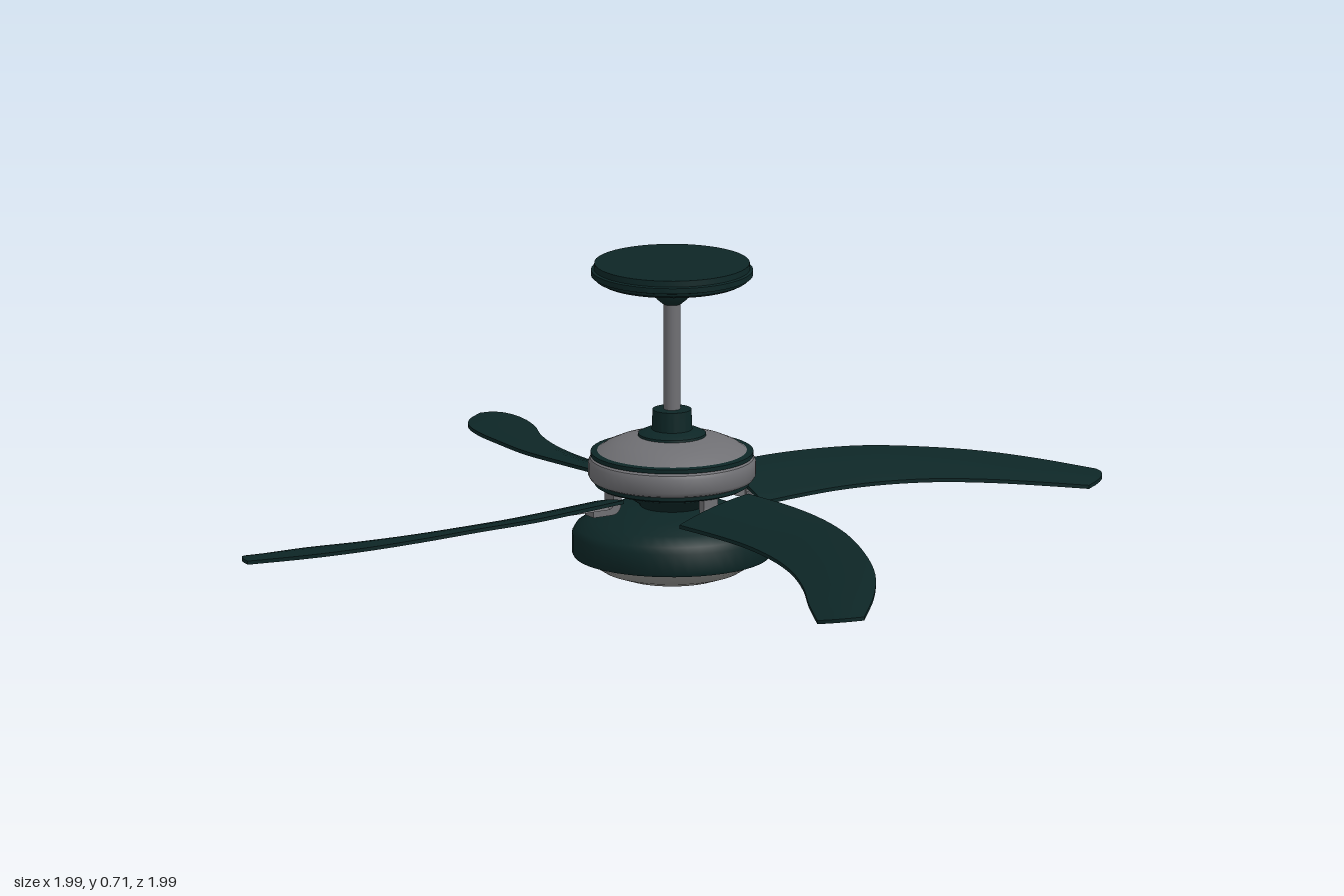
import * as THREE from 'three';
import { toCreasedNormals } from 'three/addons/utils/BufferGeometryUtils.js';

const paint = new THREE.MeshStandardMaterial({ color: 0x0d2626 });
paint.name = 'darkGreen';
const metal = new THREE.MeshStandardMaterial({ color: 0x6f6f73 });
metal.name = 'greyMetal';
const glass = new THREE.MeshStandardMaterial({ color: 0x8c8c89 });
glass.name = 'frostedGlass';

function mesh(name, geometry, material) {
  const m = new THREE.Mesh(geometry, material);
  m.name = name;
  return m;
}

// Turned part: profile of [radius, y] points listed from bottom to top
function turned(name, profile, material) {
  const points = profile.map(([r, y]) => new THREE.Vector2(r, y));
  return mesh(name, toCreasedNormals(new THREE.LatheGeometry(points, 48), 0.6), material);
}

// Swept, pitched blade: lofted between a high edge and a low edge
function bladeGeometry() {
  const curve = (pts) => new THREE.CatmullRomCurve3(pts.map((p) => new THREE.Vector3(...p)));
  const high = curve([
    [0.175, 0.213, -0.085], [0.3, 0.212, -0.105], [0.42, 0.208, -0.113], [0.55, 0.202, -0.1],
    [0.68, 0.189, -0.068], [0.8, 0.174, -0.02], [0.9, 0.158, 0.045], [0.997, 0.14, 0.13],
  ]);
  const low = curve([
    [0.175, 0.166, 0.09], [0.3, 0.166, 0.07], [0.4, 0.165, 0.06], [0.51, 0.162, 0.063],
    [0.62, 0.157, 0.082], [0.73, 0.149, 0.12], [0.83, 0.14, 0.168], [0.93, 0.128, 0.208],
  ]);
  const along = 28, across = 6, half = 0.004;
  const point = (i, j, side) => {
    const t = i / along, s = j / across;
    const p = high.getPoint(t).lerp(low.getPoint(t), s);
    const bulge = 4 * s * (1 - s);
    p.y += 0.006 * bulge + side * half;
    // rounded tip
    if (i === along) p.add(new THREE.Vector3(0.016, -0.002, 0.012).multiplyScalar(bulge));
    return p;
  };
  const out = [];
  const quad = (a, b, c, d) => [a, b, c, a, c, d].forEach((p) => out.push(p.x, p.y, p.z));
  for (let i = 0; i < along; i++) {
    for (let j = 0; j < across; j++) {
      quad(point(i, j, 1), point(i, j + 1, 1), point(i + 1, j + 1, 1), point(i + 1, j, 1));
      quad(point(i, j, -1), point(i + 1, j, -1), point(i + 1, j + 1, -1), point(i, j + 1, -1));
    }
    quad(point(i, 0, -1), point(i, 0, 1), point(i + 1, 0, 1), point(i + 1, 0, -1));
    quad(point(i, across, 1), point(i, across, -1), point(i + 1, across, -1), point(i + 1, across, 1));
  }
  for (let j = 0; j < across; j++) {
    quad(point(0, j, 1), point(0, j, -1), point(0, j + 1, -1), point(0, j + 1, 1));
    quad(point(along, j, -1), point(along, j, 1), point(along, j + 1, 1), point(along, j + 1, -1));
  }
  const g = new THREE.BufferGeometry();
  g.setAttribute('position', new THREE.Float32BufferAttribute(out, 3));
  return toCreasedNormals(g, 0.6);
}

// Hooked strap dropping from the motor to the blade
function hookGeometry() {
  const s = new THREE.Shape();
  s.moveTo(0.12, 0.222);
  s.lineTo(0.14, 0.222);
  s.lineTo(0.14, 0.19);
  s.quadraticCurveTo(0.142, 0.168, 0.165, 0.168);
  s.lineTo(0.21, 0.168);
  s.lineTo(0.21, 0.182);
  s.lineTo(0.17, 0.182);
  s.quadraticCurveTo(0.16, 0.183, 0.16, 0.195);
  s.lineTo(0.16, 0.232);
  s.lineTo(0.12, 0.232);
  s.closePath();
  const g = new THREE.ExtrudeGeometry(s, { depth: 0.036, bevelEnabled: false, curveSegments: 6 });
  g.translate(0, 0, -0.018);
  return g;
}

export function createModel() {
  const fan = new THREE.Group();
  fan.name = 'ceilingFan';

  // Ceiling mount and rod
  fan.add(turned('canopy', [
    [0, 0.64], [0.04, 0.645], [0.1, 0.655], [0.155, 0.664], [0.166, 0.67], [0.168, 0.676],
    [0.175, 0.678], [0.175, 0.69], [0.169, 0.692], [0.168, 0.705], [0, 0.706],
  ], paint));
  fan.add(turned('canopyBall', [
    [0, 0.613], [0.02, 0.614], [0.033, 0.625], [0.04, 0.64], [0.04, 0.65],
  ], paint));
  const rod = mesh('downRod', new THREE.CylinderGeometry(0.018, 0.018, 0.29, 24), metal);
  rod.position.y = 0.485;
  fan.add(rod);
  fan.add(turned('rodCollar', [
    [0.075, 0.315], [0.073, 0.327], [0.06, 0.333], [0.044, 0.336], [0.042, 0.38], [0, 0.381],
  ], paint));

  // Motor housing
  fan.add(turned('motorTop', [
    [0.165, 0.282], [0.166, 0.286], [0.145, 0.3], [0.12, 0.311], [0.08, 0.322], [0, 0.324],
  ], metal));
  fan.add(turned('motorUpperBand', [
    [0.16, 0.276], [0.176, 0.278], [0.176, 0.287], [0.16, 0.289],
  ], paint));
  fan.add(turned('motorBody', [
    [0, 0.222], [0.165, 0.222], [0.176, 0.227], [0.181, 0.235],
    [0.181, 0.265], [0.177, 0.273], [0.165, 0.278],
  ], metal));
  fan.add(turned('motorLowerBand', [
    [0, 0.211], [0.16, 0.211], [0.167, 0.215], [0.167, 0.223],
  ], paint));

  // Light fitting
  fan.add(turned('lightNeck', [[0.06, 0.155], [0.075, 0.175], [0.105, 0.195], [0.112, 0.213]], paint));
  fan.add(turned('lightHousing', [
    [0.185, 0.058], [0.213, 0.058], [0.216, 0.064], [0.216, 0.108], [0.208, 0.122],
    [0.18, 0.14], [0.14, 0.156], [0.1, 0.166], [0, 0.168],
  ], paint));
  fan.add(turned('lightBowl', [
    [0, 0], [0.06, 0.003], [0.11, 0.012], [0.15, 0.026], [0.178, 0.044], [0.19, 0.064],
  ], glass));

  // Four blades on brackets
  const blade = bladeGeometry();
  const hook = hookGeometry();
  const plate = new THREE.BoxGeometry(0.115, 0.01, 0.05);
  for (let i = 0; i < 4; i++) {
    const arm = new THREE.Group();
    arm.name = 'bladeArm' + (i + 1);
    const bracketPlate = mesh('bracketPlate', plate, metal);
    bracketPlate.position.set(0.232, 0.181, 0);
    bracketPlate.rotation.x = 0.28;
    arm.add(mesh('blade', blade, paint), mesh('bracketHook', hook, metal), bracketPlate);
    arm.rotation.y = i * Math.PI / 2;
    fan.add(arm);
  }
  return fan;
}
